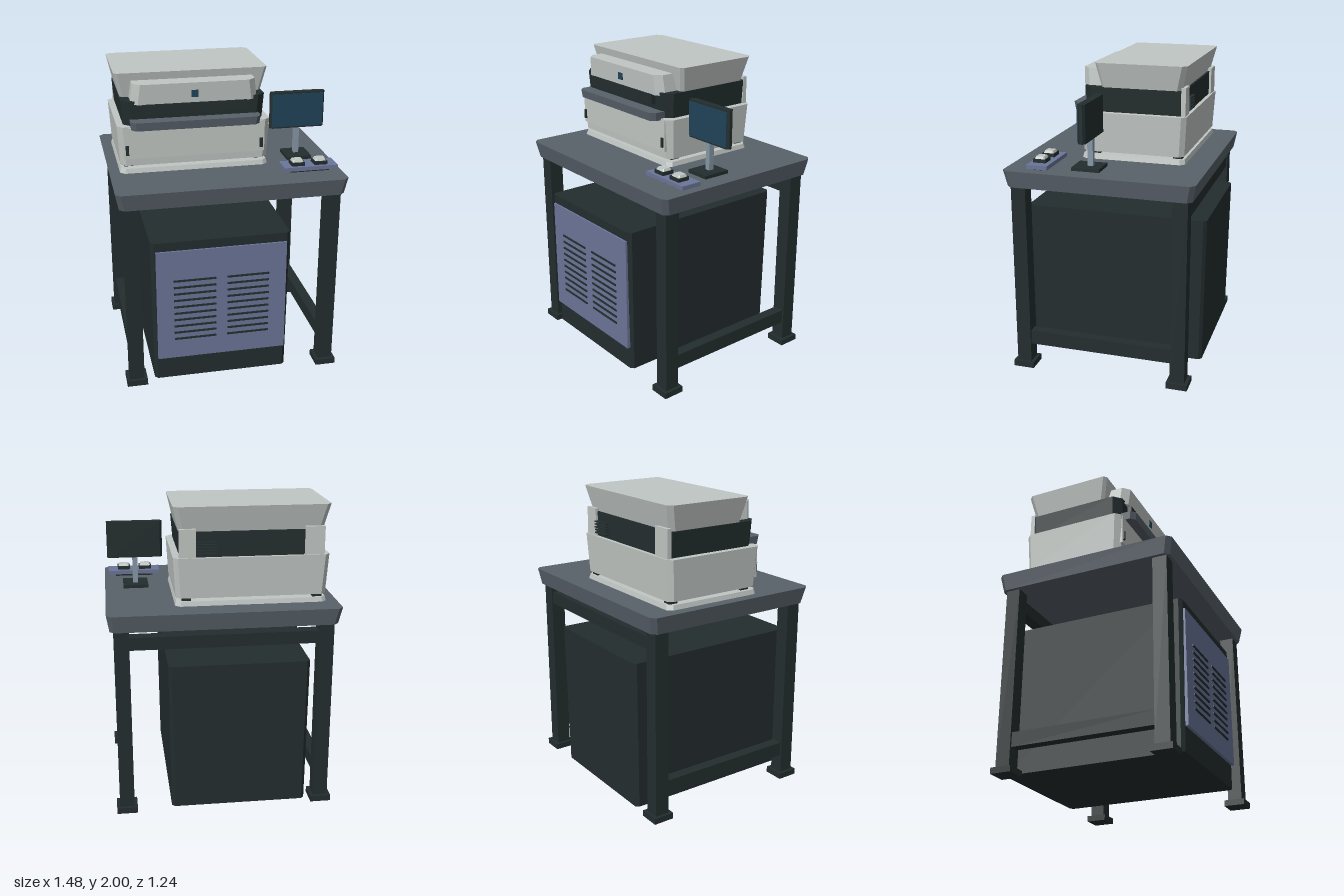
import * as THREE from 'three';

const mat = (name, color) => Object.assign(new THREE.MeshStandardMaterial({ color }), { name });

export function createModel() {
  const white = mat('off white', 0xc0c6c3);
  const dark = mat('charcoal', 0x232d2e);
  const grey = mat('slate grey', 0x58616a);
  const blue = mat('muted blue', 0x6b7598);
  const glass = mat('screen blue', 0x204358);
  const steel = mat('steel', 0x8797a6);
  const model = new THREE.Group();
  model.name = 'machineOnBench';

  const group = (name) => {
    const g = new THREE.Group();
    g.name = name;
    model.add(g);
    return g;
  };
  const add = (parent, name, geo, material) => {
    const m = new THREE.Mesh(geo, material);
    m.name = name;
    parent.add(m);
    return m;
  };
  // Box given by its limits on each axis
  const box = (parent, name, material, x0, x1, y0, y1, z0, z1) => {
    const m = add(parent, name, new THREE.BoxGeometry(x1 - x0, y1 - y0, z1 - z0), material);
    m.position.set((x0 + x1) / 2, (y0 + y1) / 2, (z0 + z1) / 2);
    return m;
  };
  // Rectangle with cut corners, anticlockwise from above
  const ring = ([x0, x1, z0, z1], y, front, back) => [
    [x0 + front, y, z1], [x1 - front, y, z1], [x1, y, z1 - front], [x1, y, z0 + back],
    [x1 - back, y, z0], [x0 + back, y, z0], [x0, y, z0 + back], [x0, y, z1 - front],
  ];
  // Tapered block between a bottom and a top rectangle [x0, x1, z0, z1]
  const block = (parent, name, material, bottom, top, y0, y1, front = 0.03, back = front) => {
    const a = ring(bottom, y0, front, back), b = ring(top, y1, front, back), pos = [];
    const tri = (...pts) => pts.forEach((p) => pos.push(...p));
    for (let i = 0; i < 8; i++) {
      const j = (i + 1) % 8;
      tri(a[i], a[j], b[j]);
      tri(a[i], b[j], b[i]);
      if (i > 0 && i < 7) {
        tri(b[0], b[i], b[j]);
        tri(a[0], a[j], a[i]);
      }
    }
    const geo = new THREE.BufferGeometry();
    geo.setAttribute('position', new THREE.Float32BufferAttribute(pos, 3));
    geo.computeVertexNormals();
    return add(parent, name, geo, material);
  };

  // Bench: tapered top, four legs with feet, rails
  const bench = group('bench');
  block(bench, 'benchTop', grey, [-0.72, 0.72, -0.6, 0.595], [-0.742, 0.738, -0.62, 0.617], 1.26, 1.37, 0.03);
  for (const x of [-0.65, 0.65]) {
    for (const z of [-0.525, 0.525]) {
      box(bench, 'leg', dark, x - 0.048, x + 0.048, 0.04, 1.26, z - 0.048, z + 0.048);
      box(bench, 'foot', dark, x - 0.068, x + 0.068, 0, 0.04, z - 0.07, z + 0.07);
    }
    box(bench, 'sideRail', dark, x - 0.035, x + 0.035, 0.165, 0.26, -0.48, 0.48);
  }
  box(bench, 'backRail', dark, -0.605, 0.605, 1.13, 1.213, -0.565, -0.485);

  // Cabinet under the bench with a louvred front
  const cabinet = group('cabinet');
  block(cabinet, 'cabinetBody', dark, [-0.532, 0.356, -0.61, 0.592], [-0.54, 0.365, -0.622, 0.602], 0.04, 1.03, 0.02);
  box(cabinet, 'frontPanel', blue, -0.51, 0.34, 0.2, 0.97, 0.58, 0.614);
  for (let i = 0; i < 10; i++) {
    const y = 0.342 + i * 0.0467;
    for (const x of [-0.4, -0.05]) box(cabinet, 'louvre', dark, x, x + 0.275, y - 0.006, y + 0.006, 0.612, 0.621);
  }

  // Machine: plinth, feet, lower body
  const machine = group('machine');
  block(machine, 'plinth', white, [-0.672, 0.302, -0.455, 0.238], [-0.665, 0.295, -0.448, 0.23], 1.37, 1.4, 0.03);
  for (const x of [-0.61, 0.23]) {
    for (const z of [-0.4, 0.15]) box(machine, 'machineFoot', dark, x - 0.03, x + 0.03, 1.4, 1.422, z - 0.03, z + 0.03);
  }
  block(machine, 'lowerBody', white, [-0.666, 0.298, -0.446, 0.23], [-0.681, 0.312, -0.46, 0.242], 1.42, 1.68, 0.035, 0.03);
  box(machine, 'frontDoor', white, -0.64, 0.272, 1.47, 1.675, 0.2, 0.246);
  for (const x of [-0.623, 0.25]) {
    box(machine, 'doorHandle', dark, x - 0.01, x + 0.01, 1.497, 1.56, 0.24, 0.256);
  }

  // Dark middle band, front lip and tray
  block(machine, 'middleBand', dark, [-0.638, 0.268, -0.425, 0.222], [-0.65, 0.28, -0.425, 0.228], 1.68, 1.84, 0.05, 0.01);
  box(machine, 'frontLip', dark, -0.52, 0.152, 1.757, 1.822, 0.2, 0.256);
  block(machine, 'tray', grey, [-0.595, 0.228, 0.1, 0.308], [-0.6, 0.234, 0.1, 0.315], 1.67, 1.724, 0.03, 0);

  // Back columns and vent
  box(machine, 'backColumn', white, -0.645, -0.52, 1.68, 1.86, -0.45, -0.42);
  box(machine, 'backColumn', white, 0.17, 0.275, 1.68, 1.86, -0.45, -0.42);
  box(machine, 'backRecess', dark, -0.52, 0.17, 1.68, 1.84, -0.435, -0.42);
  for (let i = 0; i < 5; i++) {
    const y = 1.705 + i * 0.018;
    box(machine, 'ventSlat', dark, 0.04, 0.17, y - 0.004, y + 0.004, -0.46, -0.43);
  }

  // Flared lid and front hood
  block(machine, 'lid', white, [-0.645, 0.275, -0.422, 0.107], [-0.681, 0.31, -0.46, 0.14], 1.84, 2, 0.02, 0.03);
  block(machine, 'hood', white, [-0.592, 0.225, 0.09, 0.247], [-0.575, 0.208, 0.09, 0.255], 1.82, 1.95, 0.045, 0);
  box(machine, 'hoodBadge', glass, -0.208, -0.164, 1.857, 1.902, 0.248, 0.257);

  // Monitor on its stand
  const monitor = group('monitor');
  box(monitor, 'monitorBase', dark, 0.447, 0.614, 1.37, 1.392, 0.012, 0.195);
  box(monitor, 'monitorPost', steel, 0.514, 0.548, 1.39, 1.58, 0.074, 0.11);
  block(monitor, 'monitorCase', dark, [0.346, 0.716, 0.066, 0.115], [0.346, 0.716, 0.066, 0.115], 1.57, 1.813, 0.015);
  box(monitor, 'screen', glass, 0.358, 0.704, 1.58, 1.803, 0.112, 0.119);

  // Control panel with two push buttons
  const controls = group('controls');
  box(controls, 'panelFoot', dark, 0.4, 0.66, 1.37, 1.388, 0.345, 0.43);
  box(controls, 'panel', blue, 0.354, 0.71, 1.387, 1.413, 0.32, 0.458);
  for (const x of [0.452, 0.602]) {
    box(controls, 'buttonHousing', dark, x - 0.043, x + 0.043, 1.412, 1.436, 0.354, 0.436);
    block(controls, 'buttonCap', white, [x - 0.037, x + 0.037, 0.361, 0.429], [x - 0.03, x + 0.03, 0.368, 0.422], 1.436, 1.451, 0.006);
  }
  return model;
}
